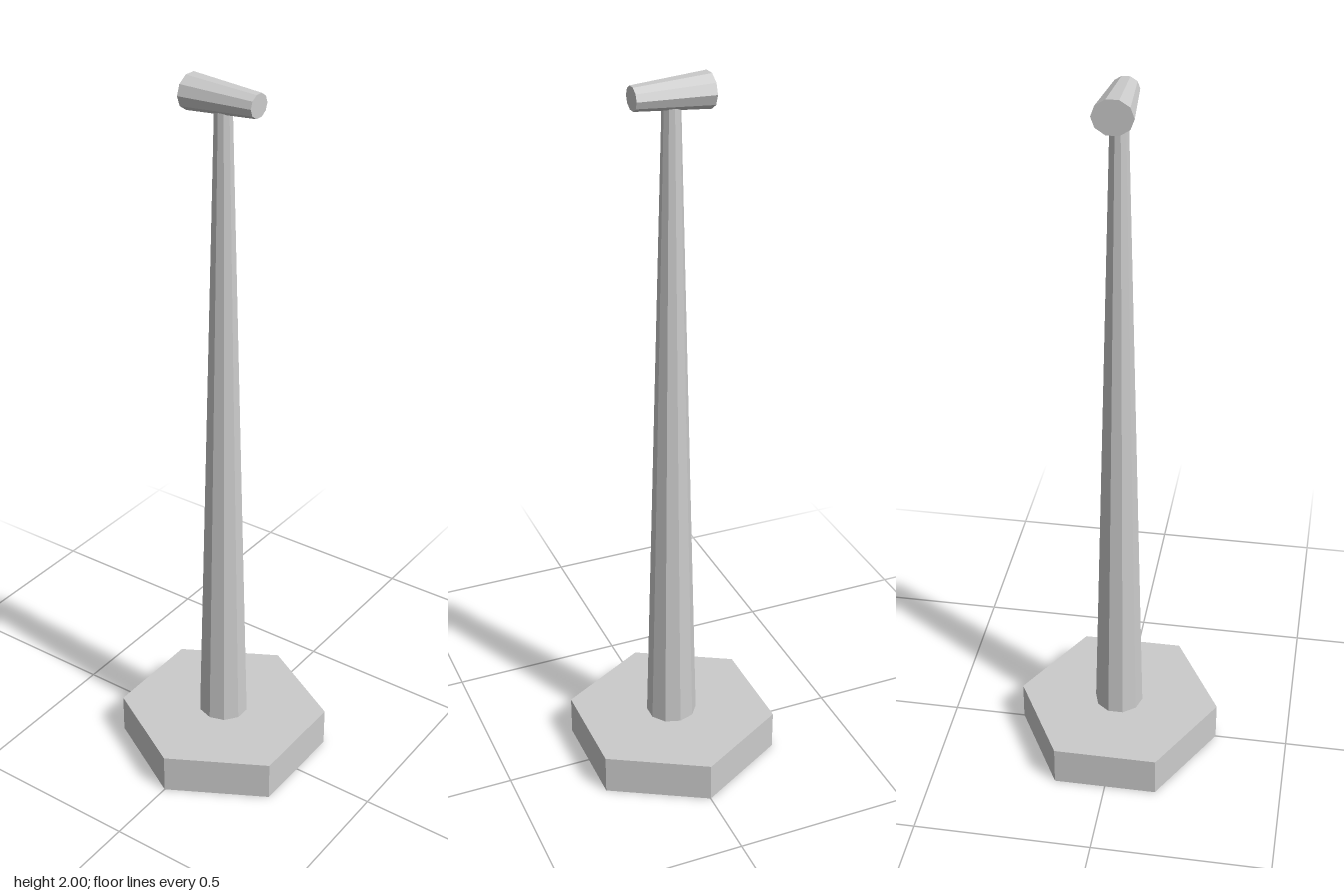
import * as THREE from 'three';

const material = new THREE.MeshStandardMaterial({ color: 0xcccccc, flatShading: true });

// Tapered prism standing on y = 0, with corners on the x axis
function prism(topRadius, bottomRadius, height, sides) {
  return new THREE.CylinderGeometry(topRadius, bottomRadius, height, sides)
    .rotateY(Math.PI / 2)
    .translate(0, height / 2, 0);
}

function addPart(group, name, geometry) {
  const mesh = new THREE.Mesh(geometry, material);
  mesh.name = name;
  group.add(mesh);
}

export function createModel() {
  const group = new THREE.Group();
  group.name = 'lampPost';

  const baseHeight = 0.115;
  const headY = 1.956;
  const depthStretch = 1.036; // slightly deeper than wide

  // Hexagonal foot
  addPart(group, 'base', prism(0.291, 0.291, baseHeight, 6).scale(1, 1, depthStretch));

  // Ten-sided tapering pole, ending inside the head
  addPart(group, 'pole', prism(0.023, 0.0695, headY - 0.016 - baseHeight, 10)
    .scale(1, 1, depthStretch)
    .translate(0, baseHeight, 0));

  // Slightly flattened head, wide at the back and narrow at the front
  addPart(group, 'head', prism(0.035, 0.0525, 0.202, 10)
    .rotateX(Math.PI / 2)
    .scale(1, 0.88, 1)
    .translate(0, headY, -0.099));

  return group;
}
